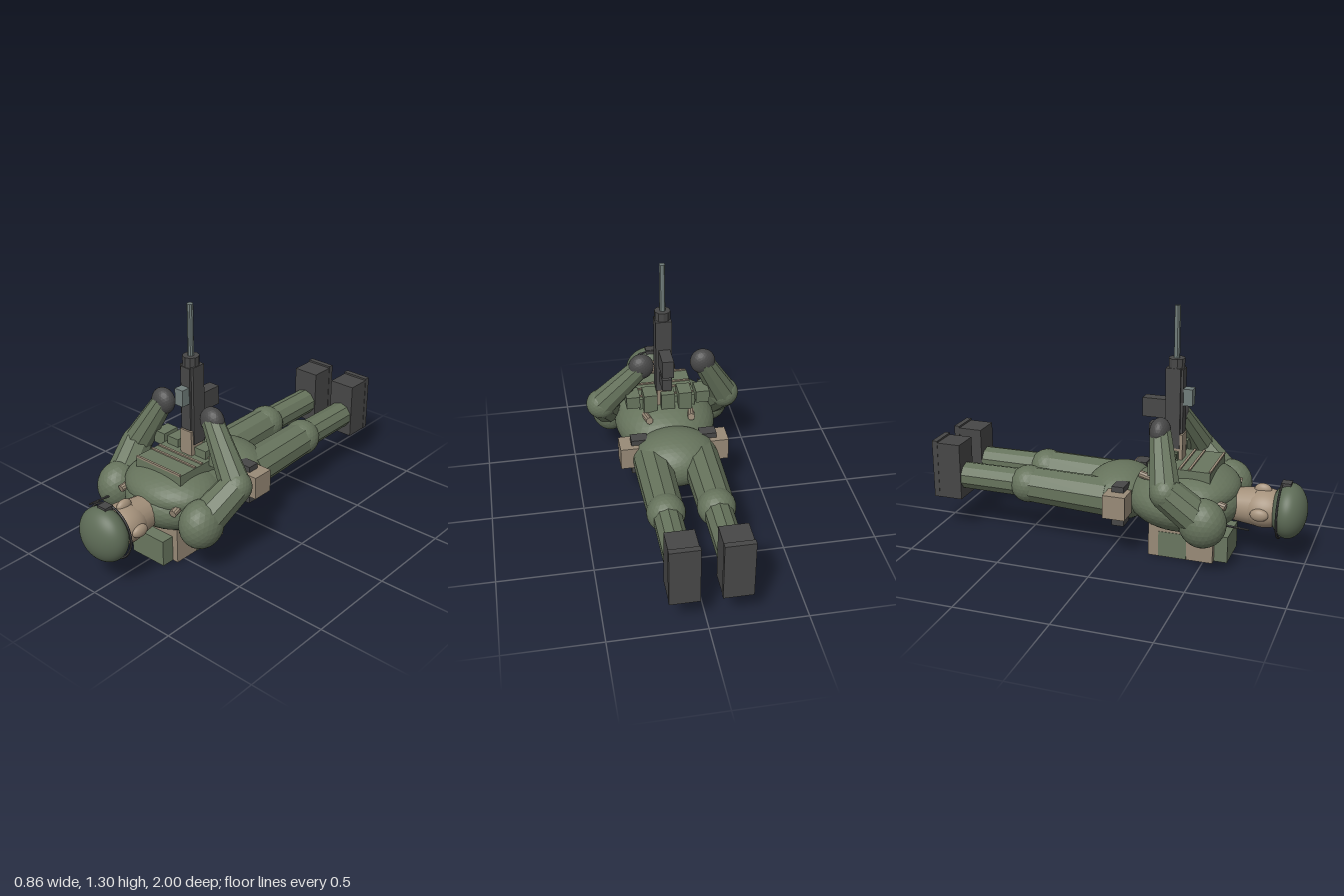
import * as THREE from 'three';

const mat = (name, color, flatShading = true) => {
  const m = new THREE.MeshStandardMaterial({ color, flatShading });
  m.name = name;
  return m;
};

export function createModel() {
  const root = new THREE.Group();
  root.name = 'lyingSoldier';
  const green = mat('uniformGreen', 0x66735c);
  const helmetGreen = mat('helmetGreen', 0x5d6b56, false);
  const pouchGreen = mat('pouchGreen', 0x69765f);
  const tan = mat('canvasTan', 0x988a77);
  const skin = mat('skin', 0xa4917b, false);
  const dark = mat('darkGrey', 0x474747);
  const metal = mat('gunMetal', 0x707c7a);
  const CX = -0.01; // body axis

  const add = (name, geo, m) => {
    const mesh = new THREE.Mesh(geo, m);
    mesh.name = name;
    root.add(mesh);
    return mesh;
  };
  // box from its two extreme corners
  const box = (name, m, x0, x1, y0, y1, z0, z1) => {
    const mesh = add(name, new THREE.BoxGeometry(x1 - x0, y1 - y0, z1 - z0), m);
    mesh.position.set((x0 + x1) / 2, (y0 + y1) / 2, (z0 + z1) / 2);
    return mesh;
  };
  // faceted ellipsoid
  const ball = (name, m, p, r, detail = 4) => {
    const mesh = add(name, new THREE.IcosahedronGeometry(1, detail), m);
    mesh.position.set(...p);
    mesh.scale.set(...r);
    return mesh;
  };
  // tapered rod between two points
  const rod = (name, m, a, b, ra, rb, sides = 10) => {
    const A = new THREE.Vector3(...a), B = new THREE.Vector3(...b);
    const d = B.clone().sub(A);
    const mesh = add(name, new THREE.CylinderGeometry(rb, ra, d.length(), sides), m);
    mesh.position.copy(A).add(B).multiplyScalar(0.5);
    mesh.quaternion.setFromUnitVectors(new THREE.Vector3(0, 1, 0), d.normalize());
    return mesh;
  };

  // Torso, chest and hips
  ball('torso', green, [CX, 0.3, 0.36], [0.28, 0.17, 0.31], 7);
  ball('chest', green, [CX, 0.365, 0.43], [0.265, 0.115, 0.22], 7);
  ball('hips', green, [CX, 0.287, 0.01], [0.23, 0.148, 0.19], 7);

  // Head
  ball('head', skin, [CX, 0.29, 0.78], [0.112, 0.102, 0.13], 8);
  rod('neck', skin, [CX, 0.29, 0.62], [CX, 0.29, 0.74], 0.085, 0.1, 20);
  ball('nose', skin, [CX, 0.385, 0.77], [0.024, 0.035, 0.045]);
  ball('helmet', helmetGreen, [CX, 0.29, 0.907], [0.145, 0.143, 0.093], 10);
  const rim = add('helmetBand', new THREE.TorusGeometry(0.146, 0.006, 6, 36), dark);
  rim.position.set(CX, 0.29, 0.868);
  box('helmetMount', dark, CX - 0.027, CX + 0.027, 0.415, 0.443, 0.865, 0.915);

  for (const s of [-1, 1]) {
    ball('ear', skin, [CX + s * 0.11, 0.29, 0.775], [0.025, 0.033, 0.047]);

    // Leg and boot
    const lx = CX + s * 0.13;
    rod('thigh', green, [lx, 0.29, -0.02], [lx, 0.305, -0.5], 0.102, 0.095);
    ball('knee', green, [lx, 0.305, -0.47], [0.1, 0.1, 0.1]);
    rod('shin', green, [lx, 0.307, -0.5], [lx, 0.307, -0.86], 0.075, 0.073);
    box('boot', dark, lx - 0.074, lx + 0.074, 0.19, 0.5, -0.97, -0.84);
    box('bootSole', dark, lx - 0.076, lx + 0.076, 0.19, 0.51, -1, -0.97);

    // Shoulder and arm, hands closing toward the weapon
    const shoulder = [CX + s * 0.29, 0.287, 0.53];
    const elbow = [s * 0.345, 0.445, 0.35];
    const hand = [-0.04 + s * 0.169, 0.707, 0.28];
    ball('shoulder', green, shoulder, [0.107, 0.127, 0.122], 4);
    rod('upperArm', green, shoulder, elbow, 0.095, 0.085);
    ball('elbow', green, elbow, [0.084, 0.084, 0.08]);
    rod('forearm', green, elbow, hand, 0.08, 0.056);
    ball('glove', dark, hand, [0.069, 0.072, 0.053]);

    // Harness strap and hip gear
    rod('harnessStrap', tan, [CX + s * 0.182, 0.34, 0.62], [CX + s * 0.115, 0.435, 0.15], 0.02, 0.02);
    const hx = CX + s * 0.237;
    box('hipPouch', tan, hx - 0.058, hx + 0.058, 0.24, 0.365, 0.005, 0.125);
    const bx = CX + s * 0.188;
    box('hipHolster', dark, bx - 0.045, bx + 0.045, 0.18, 0.395, 0.035, 0.1);

    // Backpack side pocket
    const px = CX + s * 0.125;
    box('packSidePocket', pouchGreen, px - 0.02, px + 0.02, 0.003, 0.14, 0.26, 0.41);
  }

  // Sleeve patch and radio antenna
  ball('sleevePatch', tan, [-0.375, 0.39, 0.41], [0.015, 0.025, 0.025], 2);
  rod('antenna', dark, [-0.262, 0.276, 0.62], [-0.28, 0.276, 0.76], 0.007, 0.005, 6);

  // Chest rig: plate, webbing strips and a row of pouches
  box('chestPlate', pouchGreen, -0.165, 0.143, 0.43, 0.5, 0.27, 0.53);
  for (const z of [0.3, 0.37, 0.42, 0.527])
    box('webbing', tan, -0.16, 0.14, 0.497, 0.507, z - 0.006, z + 0.006);
  for (let i = -2; i <= 2; i++) {
    const x = CX + i * 0.096;
    const bottom = Math.abs(i) === 2 ? 0.475 : 0.44;
    box('ammoPouch', pouchGreen, x - 0.037, x + 0.037, bottom, 0.545, 0.225, 0.325);
  }

  // Backpack
  box('backpack', tan, -0.153, 0.13, 0, 0.2, 0.205, 0.55);
  box('packPocket', pouchGreen, -0.12, 0.097, 0, 0.142, 0.55, 0.62);

  // Upright weapon
  const GX = 0.008, GZ = 0.298;
  box('stock', tan, -0.03, 0.045, 0.46, 0.635, 0.26, 0.345);
  box('receiver', dark, -0.035, 0.052, 0.56, 0.985, 0.252, 0.33);
  rod('barrelCollar', dark, [GX, 0.975, GZ], [GX, 1.033, GZ], 0.043, 0.043, 10);
  rod('barrel', metal, [GX, 1.03, GZ], [GX, 1.302, GZ], 0.016, 0.016, 10);
  box('topRail', dark, -0.022, 0.038, 0.64, 0.98, 0.33, 0.342);
  box('sight', metal, -0.018, 0.034, 0.79, 0.878, 0.338, 0.39);
  box('magazine', dark, -0.025, 0.037, 0.715, 0.815, 0.128, 0.255);
  box('grip', dark, -0.02, 0.032, 0.613, 0.68, 0.163, 0.255);

  return root;
}
